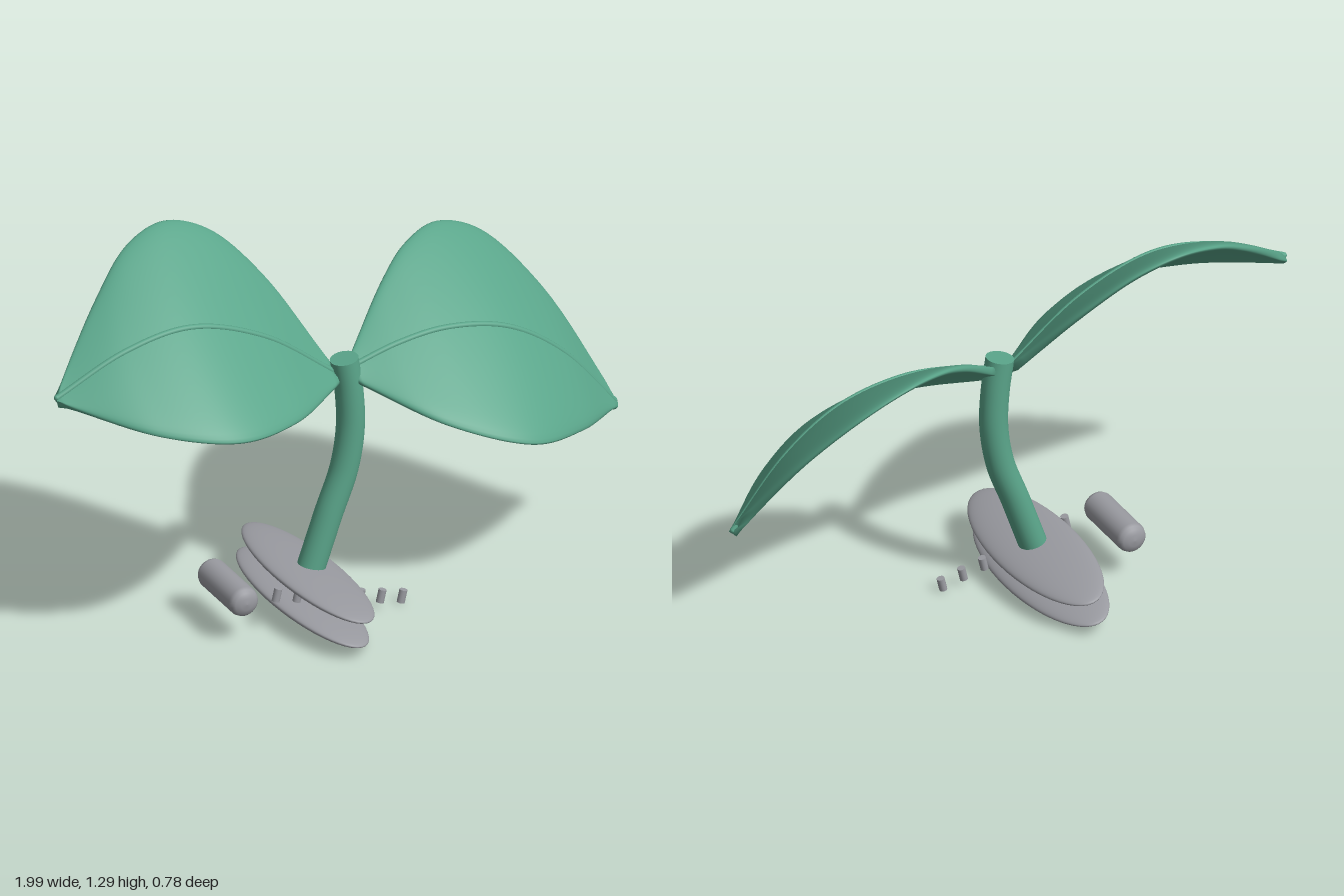
import * as THREE from 'three';

const green = new THREE.MeshStandardMaterial({ color: 0x5aa58a });
green.name = 'leafGreen';
const grey = new THREE.MeshStandardMaterial({ color: 0x9a9ba1 });
grey.name = 'stoneGrey';

const curve = (pts) => new THREE.CatmullRomCurve3(pts.map((p) => new THREE.Vector3(...p)));

function part(name, geometry, material, parent) {
  const mesh = new THREE.Mesh(geometry, material);
  mesh.name = name;
  parent.add(mesh);
  return mesh;
}

// Curved blade of even thickness, lofted through its back edge, midline and front edge
function bladeGeometry(back, mid, front) {
  const rows = 48, ring = 48, half = 0.014;
  const at = (t, w) => {
    const b = back.getPoint(t), m = mid.getPoint(t), f = front.getPoint(t);
    const bend = b.clone().add(f).multiplyScalar(0.5).sub(m);
    return m.addScaledVector(f.sub(b), w / 2).addScaledVector(bend, w * w);
  };
  const pos = [], index = [];
  for (let i = 0; i <= rows; i++) {
    const t = i / rows;
    for (let j = 0; j < ring; j++) {
      const a = (j / ring) * Math.PI * 2, w = Math.cos(a);
      const along = at(Math.min(1, t + 0.01), w).sub(at(Math.max(0, t - 0.01), w));
      const across = at(t, w + 0.01).sub(at(t, w - 0.01));
      const n = across.cross(along).normalize();
      const h = half * Math.sign(Math.sin(a)) * Math.sqrt(Math.max(0, 1 - w ** 12));
      pos.push(...at(t, w).addScaledVector(n, h).toArray());
    }
  }
  for (let i = 0; i < rows; i++) {
    for (let j = 0; j < ring; j++) {
      const p = i * ring + j, q = i * ring + (j + 1) % ring;
      index.push(p, p + ring, q, q, p + ring, q + ring);
    }
  }
  // End caps
  const c0 = pos.length / 3, last = rows * ring;
  pos.push(...at(0, 0).toArray(), ...at(1, 0).toArray());
  for (let j = 0; j < ring; j++) {
    const k = (j + 1) % ring;
    index.push(c0, j, k, c0 + 1, last + k, last + j);
  }
  const g = new THREE.BufferGeometry();
  g.setAttribute('position', new THREE.Float32BufferAttribute(pos, 3));
  g.setIndex(index);
  g.computeVertexNormals();
  return g;
}

function leaf(name, back, mid, front) {
  const group = new THREE.Group();
  group.name = name;
  const rib = curve(mid);
  part('blade', bladeGeometry(curve(back), rib, curve(front)), green, group);
  // Raised midrib with rounded ends
  const vein = new THREE.Group();
  vein.name = 'midrib';
  vein.position.y = 0.014;
  part('rib', new THREE.TubeGeometry(rib, 48, 0.01, 10), green, vein);
  for (const t of [0, 1]) {
    part('ribEnd', new THREE.SphereGeometry(0.01, 10, 8), green, vein).position.copy(rib.getPoint(t));
  }
  group.add(vein);
  return group;
}

export function createModel() {
  const model = new THREE.Group();
  model.name = 'seedling';

  model.add(leaf('rightLeaf',
    [[-0.985, 0.957, -0.012], [-0.74, 1.16, -0.21], [-0.58, 1.265, -0.315], [-0.43, 1.297, -0.355],
      [-0.29, 1.25, -0.33], [-0.15, 1.105, -0.235], [-0.01, 0.84, -0.035]],
    [[-0.985, 0.944, 0], [-0.74, 1.053, 0], [-0.515, 1.085, 0], [-0.26, 0.997, 0], [-0.01, 0.815, 0]],
    [[-0.985, 0.938, 0.012], [-0.74, 0.872, 0.24], [-0.5, 0.832, 0.325], [-0.26, 0.809, 0.24], [-0.01, 0.792, 0.035]]));

  model.add(leaf('leftLeaf',
    [[0.06, 0.838, -0.03], [0.275, 1.003, -0.21], [0.39, 1.06, -0.29], [0.53, 1.078, -0.35],
      [0.68, 1.018, -0.345], [0.84, 0.83, -0.23], [0.98, 0.51, -0.015]],
    [[0.06, 0.818, 0], [0.22, 0.862, 0], [0.39, 0.878, 0], [0.6, 0.835, 0], [0.79, 0.71, 0], [0.985, 0.484, 0]],
    [[0.06, 0.785, 0.035], [0.275, 0.683, 0.25], [0.53, 0.592, 0.325], [0.77, 0.532, 0.205], [0.975, 0.478, 0.015]]));

  // Bent stem with a flat top
  const stem = curve([[-0.09, 0.145, 0], [-0.025, 0.33, 0], [0.03, 0.48, 0],
    [0.052, 0.62, 0], [0.047, 0.75, 0], [0.03, 0.865, 0]]);
  part('stem', new THREE.TubeGeometry(stem, 48, 0.046, 24), green, model);
  const top = part('stemTop', new THREE.CircleGeometry(0.046, 24).rotateX(-Math.PI / 2), green, model);
  const end = stem.getTangent(1);
  top.position.copy(stem.getPoint(1));
  top.rotation.z = Math.atan2(-end.x, end.y);

  // Two tilted oval stones under the stem
  for (const [name, x, y] of [['upperDisc', -0.098, 0.133], ['lowerDisc', -0.117, 0.051]]) {
    const disc = part(name, new THREE.SphereGeometry(1, 48, 32), grey, model);
    disc.scale.set(0.134, 0.03, 0.39);
    disc.position.set(x, y, 0);
    disc.rotation.z = -0.23;
  }

  // Roller with softly domed ends, lying front to back
  const profile = [[0, -0.137], [0.02, -0.135], [0.037, -0.129], [0.046, -0.12], [0.05, -0.107]];
  const outline = [...profile, ...profile.map(([r, y]) => [r, -y]).reverse()];
  const roller = part('roller', new THREE.LatheGeometry(outline.map((p) => new THREE.Vector2(...p)), 32), grey, model);
  roller.rotation.x = Math.PI / 2;
  roller.position.set(-0.381, 0.147, 0);

  // Row of small pegs running down the slope
  const pegs = new THREE.Group();
  pegs.name = 'pegs';
  for (let i = 0; i < 7; i++) {
    const peg = part('peg', new THREE.CylinderGeometry(0.013, 0.013, 0.044, 14), grey, pegs);
    peg.position.set(-0.254 + i * 0.0737, 0.134 - i * 0.0175, 0.093);
    peg.rotation.z = -0.23;
  }
  model.add(pegs);

  return model;
}
